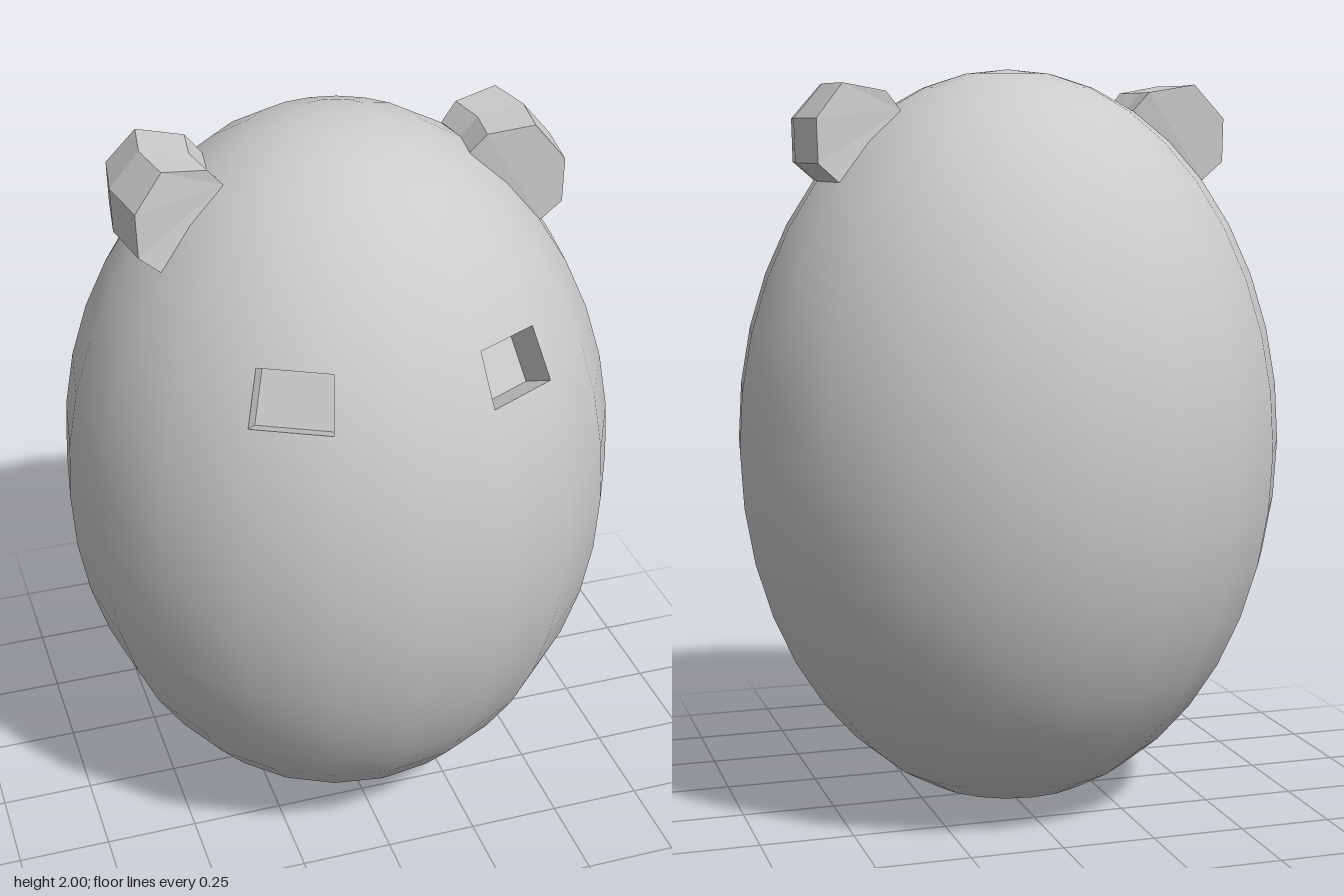
import * as THREE from 'three';

const R = 0.74, SEG = 20, EYE_ROW = 6;
const smooth = new THREE.MeshStandardMaterial({ color: 0xcccccc });
const flat = new THREE.MeshStandardMaterial({ color: 0xcccccc, flatShading: true });

// Point on the egg: ring counted from the top, angle in steps from the front
function onEgg(ring, step) {
  const a = ring * Math.PI / SEG, b = step * 2 * Math.PI / SEG;
  return new THREE.Vector3(R * Math.sin(a) * Math.sin(b), 1 + Math.cos(a), R * Math.sin(a) * Math.cos(b));
}

// Flat-shaded mesh from convex polygons with counter-clockwise corners
function polyMesh(name, polys) {
  const pos = [];
  for (const p of polys)
    for (let i = 1; i < p.length - 1; i++)
      for (const v of [p[0], p[i], p[i + 1]]) pos.push(v.x, v.y, v.z);
  const geo = new THREE.BufferGeometry();
  geo.setAttribute('position', new THREE.Float32BufferAttribute(pos, 3));
  geo.computeVertexNormals();
  const mesh = new THREE.Mesh(geo, flat);
  mesh.name = name;
  return mesh;
}

// Egg-shaped body with one facet left open for each eye
function makeBody() {
  const geo = new THREE.SphereGeometry(1, SEG, SEG);
  const index = Array.from(geo.index.array);
  const rowStart = 3 * SEG + (EYE_ROW - 1) * 6 * SEG;
  for (const column of [6, 3]) index.splice(rowStart + column * 6, 6);
  geo.setIndex(index);
  geo.scale(R, 1, R).translate(0, 1, 0);
  const mesh = new THREE.Mesh(geo, smooth);
  mesh.name = 'body';
  return mesh;
}

// Eye socket: the open facet pushed inward
function makeEye(name, step) {
  const rim = [
    onEgg(EYE_ROW + 1, step), onEgg(EYE_ROW + 1, step + 1),
    onEgg(EYE_ROW, step + 1), onEgg(EYE_ROW, step),
  ];
  const normal = new THREE.Vector3().subVectors(rim[1], rim[0])
    .cross(new THREE.Vector3().subVectors(rim[3], rim[0])).normalize();
  const back = rim.map(p => p.clone().addScaledVector(normal, -0.085));
  const walls = rim.map((p, i) => [p, rim[(i + 1) % 4], back[(i + 1) % 4], back[i]]);
  return polyMesh(name, [...walls, back]);
}

// Ear: profile swept in two straight steps around the head
function makeEar(name) {
  // radius, height, half width
  const profile = [
    [0.336, 1.891, 0.104], [0.38, 1.94, 0.115], [0.505, 1.96, 0.14],
    [0.583, 1.87, 0.165], [0.58, 1.755, 0.167], [0.523, 1.707, 0.162],
  ];
  const section = s => profile.map(([r, y, w]) =>
    new THREE.Vector3(s ? r * 0.955 : r, y, s * w));
  const [front, middle, back] = [1, 0, -1].map(section);
  const polys = [[...front].reverse(), back];
  for (const [a, b] of [[front, middle], [middle, back]])
    a.forEach((p, i) => {
      const j = (i + 1) % a.length;
      polys.push([p, a[j], b[j], b[i]]);
    });
  return polyMesh(name, polys);
}

export function createModel() {
  const model = new THREE.Group();
  model.name = 'eggCreature';
  const rightEar = makeEar('rightEar');
  rightEar.rotation.y = Math.PI;
  model.add(makeBody(), makeEye('leftEye', 1), makeEye('rightEye', -2), makeEar('leftEar'), rightEar);
  return model;
}
